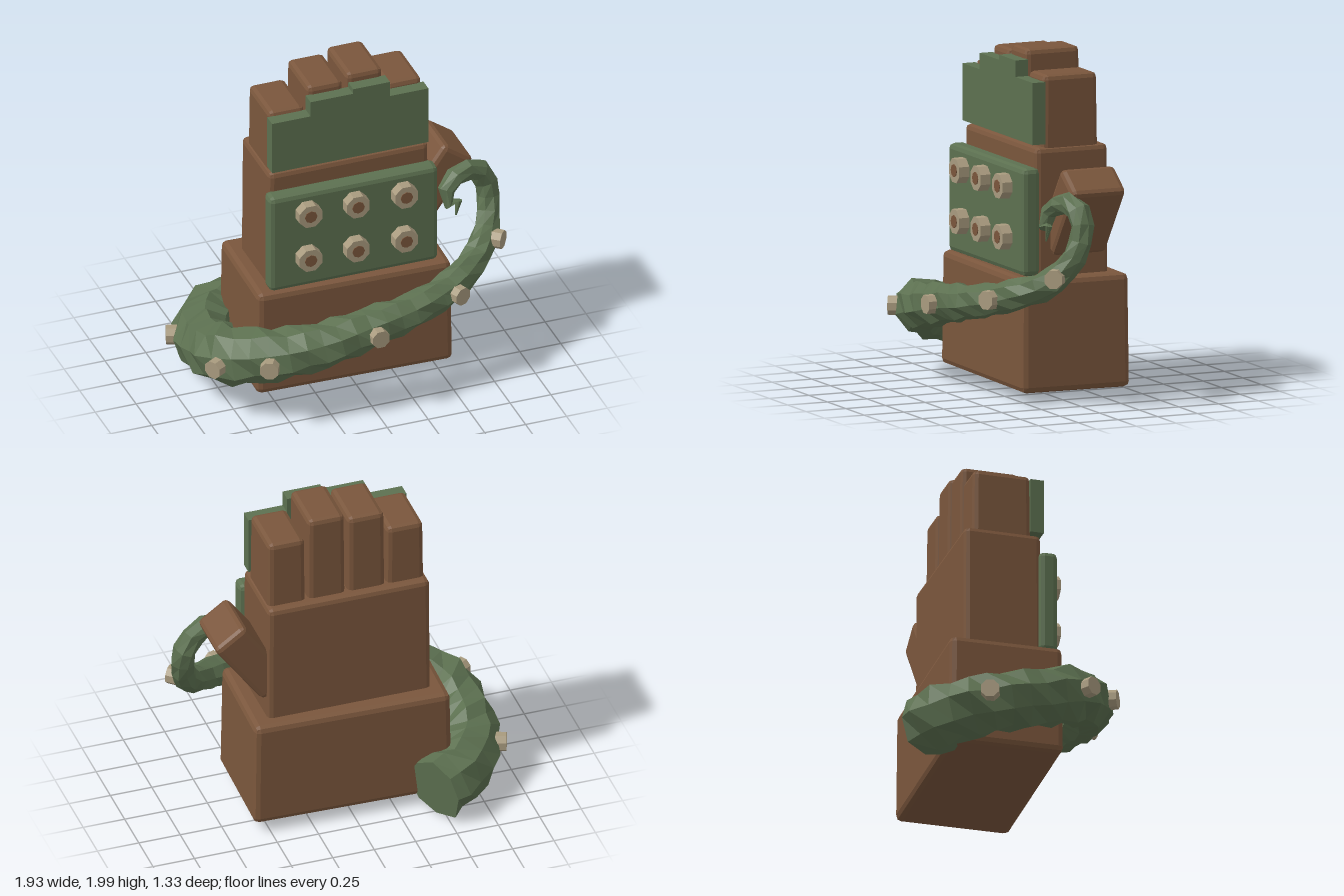
import * as THREE from 'three';
import { RoundedBoxGeometry } from 'three/addons/geometries/RoundedBoxGeometry.js';

const brown = new THREE.MeshStandardMaterial({ color: 0x7a563c });
const green = new THREE.MeshStandardMaterial({ color: 0x5c7050 });
const bone = new THREE.MeshStandardMaterial({ color: 0xa89a7e });
brown.name = 'brown stone';
green.name = 'green';
bone.name = 'bone';

// Split the faces so that every facet is shaded flat
function flat(geo) {
  const g = geo.index ? geo.toNonIndexed() : geo;
  g.computeVertexNormals();
  return g;
}

function add(parent, name, geo, mat) {
  const mesh = new THREE.Mesh(flat(geo), mat);
  mesh.name = name;
  parent.add(mesh);
  return mesh;
}

// Chamfered block from its limits; the top may be a little narrower
function block(parent, name, mat, [x0, x1], [y0, y1], [z0, z1], bevel, taper = 1) {
  const geo = new RoundedBoxGeometry(x1 - x0, y1 - y0, z1 - z0, 1, bevel);
  const p = geo.attributes.position;
  for (let i = 0; i < p.count; i++) {
    if (p.getY(i) > 0) p.setXYZ(i, p.getX(i) * taper, p.getY(i), p.getZ(i) * taper);
  }
  const mesh = add(parent, name, geo, mat);
  mesh.position.set((x0 + x1) / 2, (y0 + y1) / 2, (z0 + z1) / 2);
  return mesh;
}

// Short octagonal stud whose axis points along dir
function stud(parent, name, position, dir, radius, height) {
  const geo = new THREE.CylinderGeometry(radius * 0.97, radius, height, 8);
  geo.rotateY(Math.PI / 8);
  geo.rotateX(Math.PI / 2);
  const mesh = add(parent, name, geo, bone);
  mesh.position.copy(position);
  mesh.quaternion.setFromUnitVectors(new THREE.Vector3(0, 0, 1), dir);
  return mesh;
}

// Tentacle path: x, y, z, radius
const PATH = [
  [-0.44, 0.19, -0.53, 0.19], [-0.63, 0.21, -0.42, 0.185], [-0.76, 0.24, -0.22, 0.175],
  [-0.79, 0.29, 0.02, 0.17], [-0.74, 0.36, 0.24, 0.17], [-0.56, 0.42, 0.4, 0.155],
  [-0.3, 0.47, 0.48, 0.135], [0, 0.53, 0.485, 0.118], [0.3, 0.58, 0.455, 0.1],
  [0.58, 0.65, 0.36, 0.092], [0.79, 0.75, 0.2, 0.08], [0.875, 0.93, 0.08, 0.066],
  [0.865, 1.08, 0.045, 0.068], [0.79, 1.18, 0.06, 0.066], [0.69, 1.18, 0.09, 0.06],
  [0.6, 1.13, 0.13, 0.05], [0.585, 1.06, 0.15, 0.04], [0.63, 1.02, 0.16, 0.034],
  [0.66, 1.06, 0.16, 0.026], [0.64, 0.96, 0.17, 0.005],
];

function createTentacle() {
  const group = new THREE.Group();
  group.name = 'tentacle';
  const curve = new THREE.CatmullRomCurve3(PATH.map(([x, y, z]) => new THREE.Vector3(x, y, z)));
  const rings = 40, sides = 8;
  const geo = new THREE.TubeGeometry(curve, rings, 1, sides, false);
  const p = geo.attributes.position;
  const v = new THREE.Vector3();
  const radiusAt = (u) => {
    const k = curve.getUtoTmapping(u) * (PATH.length - 1);
    const i = Math.min(Math.floor(k), PATH.length - 2);
    return THREE.MathUtils.lerp(PATH[i][3], PATH[i + 1][3], k - i);
  };
  // Shrink each ring to its radius, with a small regular unevenness
  for (let i = 0; i <= rings; i++) {
    const centre = curve.getPointAt(i / rings);
    const r = radiusAt(i / rings);
    for (let j = 0; j <= sides; j++) {
      const n = i * (sides + 1) + j;
      const rough = 1 + 0.09 * Math.sin(i * 2.3 + (j % sides) * 4.1);
      v.fromBufferAttribute(p, n).sub(centre).multiplyScalar(r * rough).add(centre);
      p.setXYZ(n, v.x, v.y, v.z);
    }
  }
  // Flat cut at the thick end
  const cap = [];
  const c0 = PATH[0].slice(0, 3);
  for (let j = 0; j < sides; j++) {
    cap.push(...c0);
    for (const k of [j, j + 1]) cap.push(p.getX(k), p.getY(k), p.getZ(k));
  }
  const capGeo = new THREE.BufferGeometry();
  capGeo.setAttribute('position', new THREE.Float32BufferAttribute(cap, 3));
  add(group, 'tentacleBody', geo, green);
  add(group, 'tentacleCut', capGeo, green);

  // Studs along the outer side, at the path points they sit beside
  const up = new THREE.Vector3(0, 1, 0);
  for (const t of [2, 4, 5, 7, 8.72, 10.2]) {
    const s = t / (PATH.length - 1);
    const i = Math.floor(t);
    const r = THREE.MathUtils.lerp(PATH[i][3], PATH[i + 1][3], t - i);
    const dir = curve.getTangent(s).cross(up).negate();
    dir.y = 0;
    dir.normalize();
    const centre = curve.getPoint(s);
    // Face away from the middle of the model
    if (dir.x * centre.x + dir.z * centre.z < 0) dir.negate();
    stud(group, 'tentacleStud', centre.addScaledVector(dir, r), dir, 0.058, 0.07);
  }
  return group;
}

export function createModel() {
  const model = new THREE.Group();
  model.name = 'stoneHand';

  // Wrist and palm
  block(model, 'wrist', brown, [-0.6, 0.59], [0.07, 0.73], [-0.4, 0.275], 0.035, 0.985).rotation.y = -0.025;
  block(model, 'palm', brown, [-0.5, 0.485], [0.7, 1.47], [-0.3, 0.16], 0.03, 0.99);

  // Fingers: centre x, top y
  for (const [x, top] of [[-0.365, 1.845], [-0.13, 1.965], [0.11, 2], [0.35, 1.885]]) {
    block(model, 'finger', brown, [x - 0.113, x + 0.113], [1.43, top], [-0.245, 0.105], 0.03, 0.97);
  }

  // Thumb
  const thumb = block(model, 'thumb', brown, [-0.11, 0.11], [-0.25, 0.25], [-0.27, 0.07], 0.03);
  thumb.position.set(0.56, 1.105, -0.1);
  thumb.rotation.z = -0.62;

  // Stepped plate over the fingers
  const steps = new THREE.Shape();
  steps.moveTo(-0.485, 1.49);
  steps.lineTo(0.47, 1.49);
  for (const [x0, x1, y] of [[0.235, 0.47, 1.85], [0.01, 0.235, 1.945], [-0.25, 0.01, 1.915], [-0.485, -0.25, 1.82]]) {
    steps.lineTo(x1, y);
    steps.lineTo(x0, y);
  }
  const guard = add(model, 'fingerGuard',
    new THREE.ExtrudeGeometry(steps, { depth: 0.08, bevelEnabled: false }), green);
  guard.position.z = 0.095;

  // Palm plate with two rows of studs
  block(model, 'palmPlate', green, [-0.525, 0.505], [0.735, 1.36], [0.14, 0.25], 0.03);
  const front = new THREE.Vector3(0, 0, 1);
  for (const y of [1.235, 0.94]) {
    for (const x of [-0.3, -0.01, 0.285]) {
      stud(model, 'palmStud', new THREE.Vector3(x, y, 0.275), front, 0.077, 0.075);
      const core = new THREE.CylinderGeometry(0.038, 0.038, 0.008, 8);
      core.rotateX(Math.PI / 2);
      add(model, 'studCore', core, brown).position.set(x, y, 0.313);
    }
  }

  model.add(createTentacle());
  return model;
}
